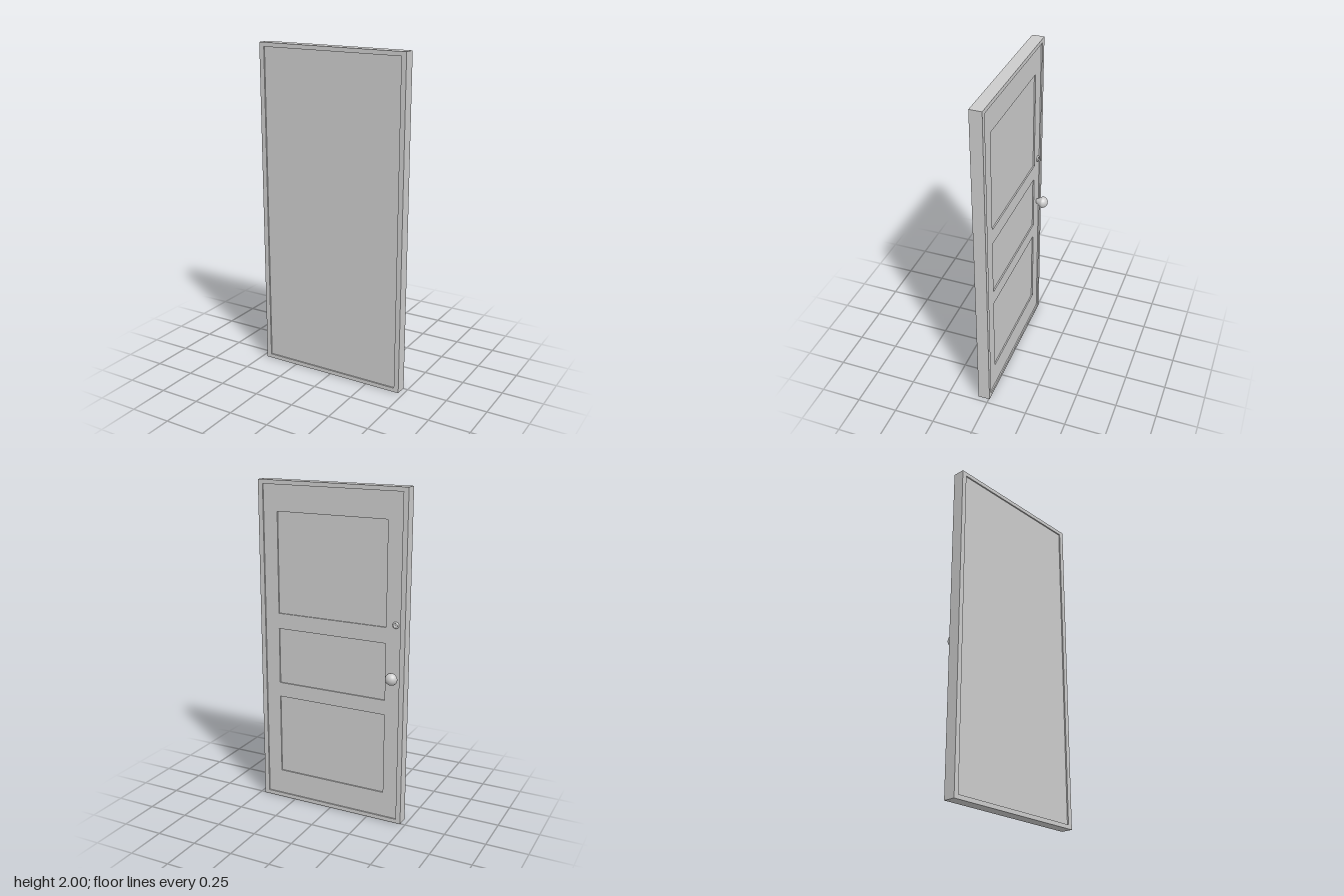
import * as THREE from 'three';

const material = new THREE.MeshStandardMaterial({ color: 0xcccccc });

// Corner points of an axis-aligned rectangle
function rectPoints(x0, y0, x1, y1) {
  return [[x0, y0], [x1, y0], [x1, y1], [x0, y1]].map(([x, y]) => new THREE.Vector2(x, y));
}

// Rectangular plate with rectangular holes, between two depths
function plate(name, outer, holes, z0, z1) {
  const shape = new THREE.Shape(rectPoints(...outer));
  for (const h of holes) shape.holes.push(new THREE.Path(rectPoints(...h)));
  const geometry = new THREE.ExtrudeGeometry(shape, { depth: z1 - z0, bevelEnabled: false });
  geometry.translate(0, 0, z0);
  const mesh = new THREE.Mesh(geometry, material);
  mesh.name = name;
  return mesh;
}

// Turned part whose axis points out of the back of the door
function turned(name, profile, x, y, z) {
  const points = profile.map(([r, h]) => new THREE.Vector2(r, h));
  const mesh = new THREE.Mesh(new THREE.LatheGeometry(points, 24), material);
  mesh.name = name;
  mesh.rotation.x = -Math.PI / 2;
  mesh.position.set(x, y, z);
  return mesh;
}

export function createModel() {
  const door = new THREE.Group();
  door.name = 'door';
  const opening = [-0.44, 0.025, 0.44, 1.975];

  // Outer frame, standing slightly proud of the slab on both sides
  door.add(plate('frame', [-0.47, 0, 0.47, 2], [opening], -0.005, 0.067));

  // Slab: plain front, stiles and rails around three sunk panels on the back
  door.add(plate('slab', opening, [], 0.011, 0.059));
  const panels = [[0.18, 0.68], [0.77, 1.115], [1.21, 1.82]]
    .map(([y0, y1]) => [-0.35, y0, 0.35, y1]);
  door.add(plate('stilesAndRails', opening, panels, 0.003, 0.011));

  // Knob: flared neck and rounded head
  const knob = [[0.014, 0], [0.018, 0.008], [0.037, 0.037]];
  for (let i = 1; i <= 8; i++) {
    const a = (i / 8) * Math.PI / 2;
    knob.push([i === 8 ? 0 : 0.037 * Math.cos(a), 0.037 + 0.036 * Math.sin(a)]);
  }
  door.add(turned('knob', knob, -0.405, 0.92, 0.003));

  // Lock cylinder above the knob, with a sunk centre
  const lock = [[0.02, 0], [0.019, 0.005], [0.015, 0.008], [0.011, 0.008], [0.009, 0.004], [0, 0.004]];
  door.add(turned('lock', lock, -0.41, 1.23, 0.003));

  return door;
}
